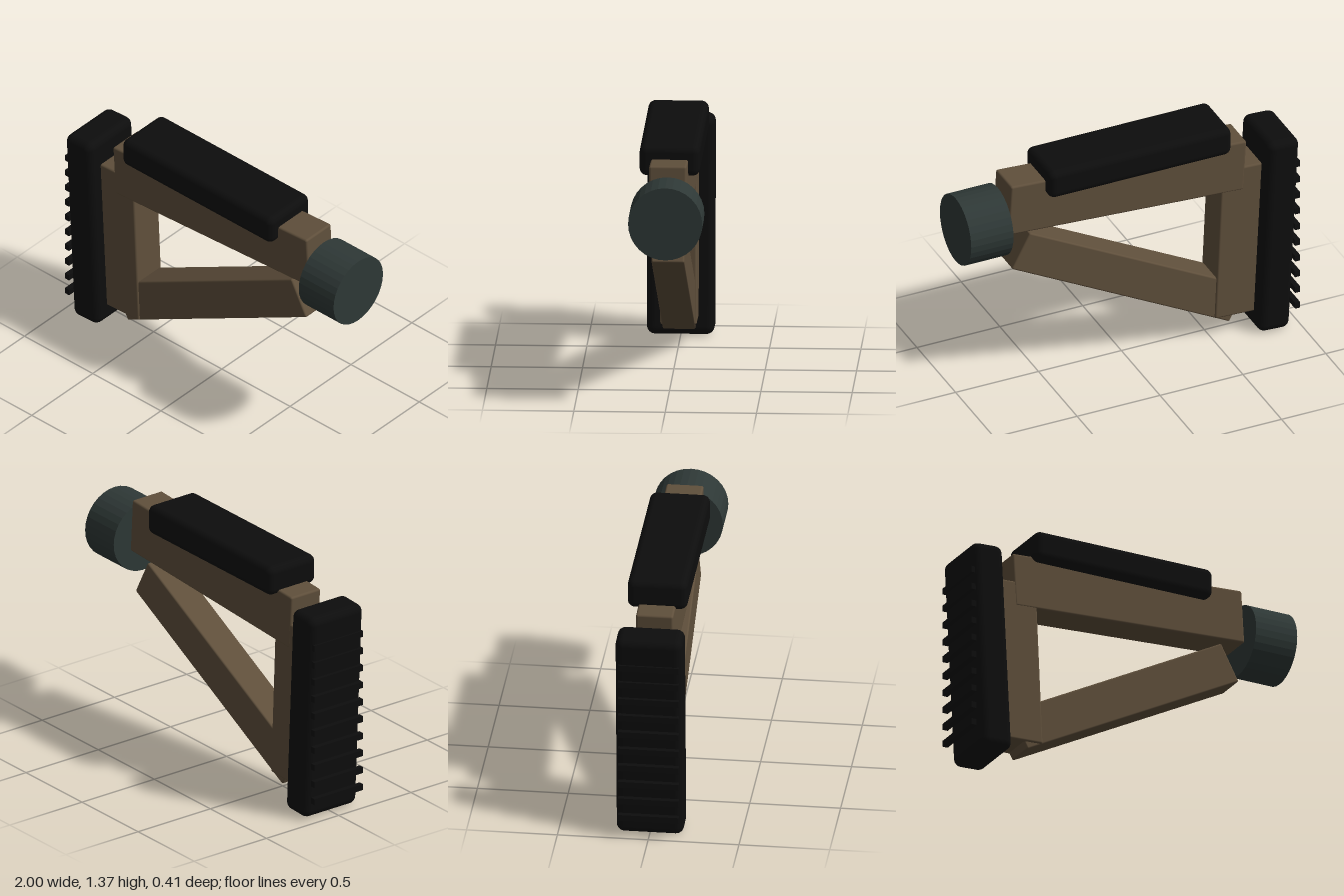
import * as THREE from 'three';
import { RoundedBoxGeometry } from 'three/addons/geometries/RoundedBoxGeometry.js';

function material(name, color) {
  const m = new THREE.MeshStandardMaterial({ color });
  m.name = name;
  return m;
}

export function createModel() {
  const model = new THREE.Group();
  model.name = 'shoulderStock';
  const brown = material('earth brown', 0x5f4f3b);
  const black = material('rubber black', 0x0d0d0d);
  const steel = material('dark steel', 0x2e3836);
  steel.flatShading = true;

  // Adds a part at x, y on the centre plane, tilted about z
  function add(name, geometry, mat, x, y, tilt = 0) {
    const mesh = new THREE.Mesh(geometry, mat);
    mesh.name = name;
    mesh.position.set(x, y, 0);
    mesh.rotation.z = tilt;
    model.add(mesh);
    return mesh;
  }
  const rounded = (w, h, d, r) => new RoundedBoxGeometry(w, h, d, 4, r);

  // Triangular frame
  add('topBeam', rounded(1.423, 0.31, 0.205, 0.012), brown, 0.01, 1.121, 0.06);
  add('rearPost', rounded(0.26, 0.95, 0.2, 0.012), brown, -0.671, 0.595, 0.045);
  add('diagonalStrut', rounded(1.483, 0.233, 0.18, 0.01), brown, -0.01, 0.53, 0.488);

  // Soft pads
  add('cheekRest', rounded(1.1, 0.17, 0.33, 0.04), black, -0.045, 1.295);
  add('buttPad', rounded(0.19, 1.215, 0.37, 0.045), black, -0.872, 0.615, 0.05);

  // Grip ridges behind the butt pad
  const ridge = new THREE.BoxGeometry(0.03, 0.036, 0.335);
  for (let i = 0; i < 10; i++) {
    add('gripRidge' + (i + 1), ridge, black, -0.985, 0.13 + i * 0.102);
  }

  // Mounting collar
  const collar = new THREE.CylinderGeometry(0.203, 0.203, 0.255, 32);
  add('mountingCollar', collar, steel, 0.8725, 1.063, -Math.PI / 2);

  return model;
}
